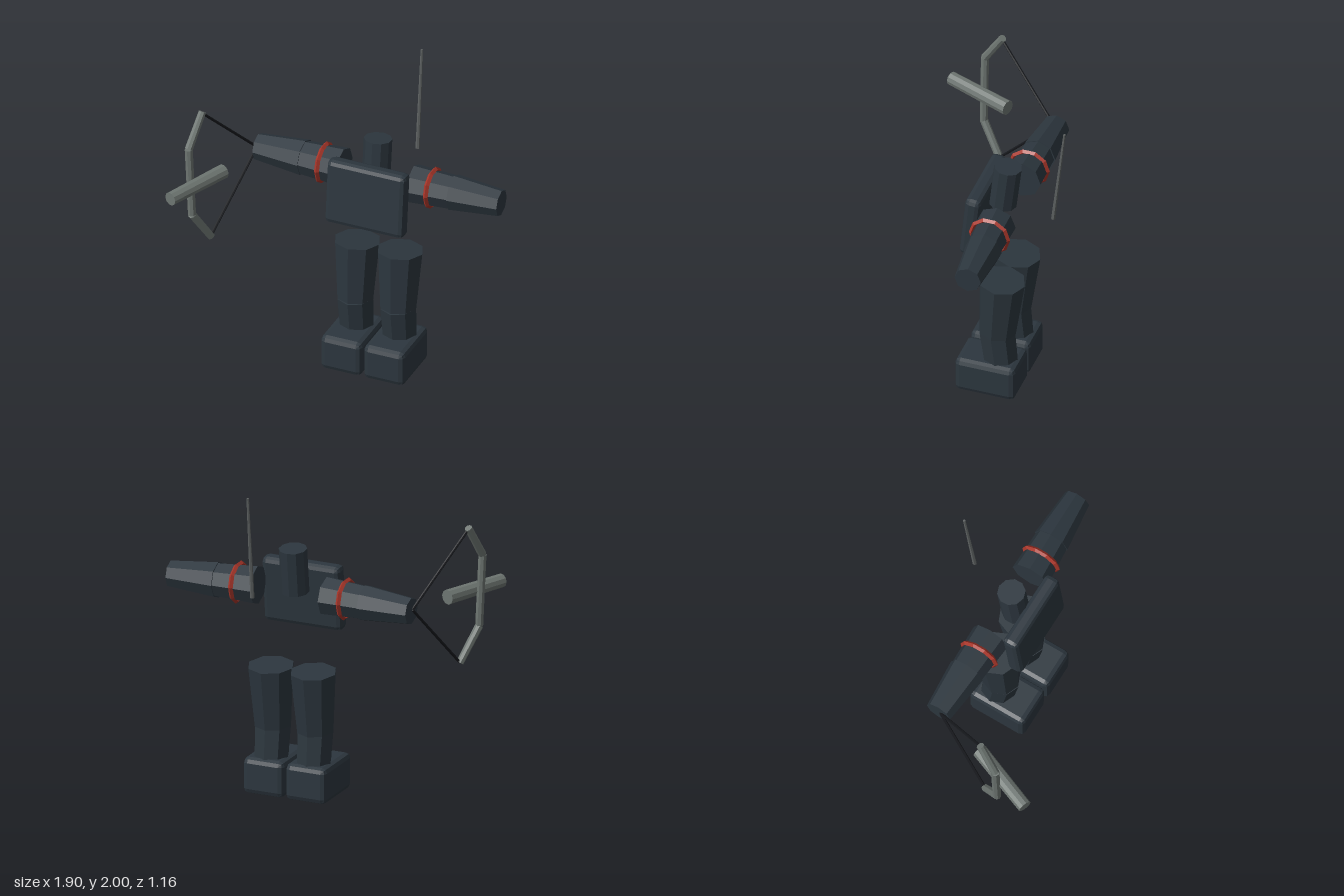
import * as THREE from 'three';
import { RoundedBoxGeometry } from 'three/addons/geometries/RoundedBoxGeometry.js';

const mat = (name, color) => {
  const m = new THREE.MeshStandardMaterial({ color, flatShading: true });
  m.name = name;
  return m;
};

export function createModel() {
  const root = new THREE.Group();
  root.name = 'archerArmour';
  const armour = mat('dark slate', 0x2c363e);
  const red = mat('band red', 0xa8362a);
  const metal = mat('bow grey', 0x6d7571);
  const antennaGrey = mat('antenna grey', 0x5c6060);
  const black = mat('string black', 0x17191d);
  const MID = 0.14; // body centre line

  const add = (name, geometry, material, parent = root) => {
    const mesh = new THREE.Mesh(geometry, material);
    mesh.name = name;
    parent.add(mesh);
    return mesh;
  };

  // Tapered rod running from point a to point b
  const rod = (name, a, b, ra, rb, sides, material, parent) => {
    const from = new THREE.Vector3(...a), to = new THREE.Vector3(...b);
    const dir = to.clone().sub(from);
    const mesh = add(name, new THREE.CylinderGeometry(rb, ra, dir.length(), sides), material, parent);
    mesh.position.copy(from).add(to).multiplyScalar(0.5);
    mesh.quaternion.setFromUnitVectors(new THREE.Vector3(0, 1, 0), dir.normalize());
    return mesh;
  };

  // Chest plate, leaning slightly back
  const chest = add('chestPlate', new RoundedBoxGeometry(0.52, 0.42, 0.1, 1, 0.03), armour);
  chest.position.set(MID, 1.24, -0.01);
  chest.rotation.x = -0.1;

  // Canister on the back
  rod('backCanister', [MID, 1.285, -0.137], [MID, 1.57, -0.17], 0.087, 0.087, 10, armour);

  // Antenna
  rod('antenna', [0.255, 1.34, -0.5], [0.252, 2.0, -0.572], 0.013, 0.008, 6, antennaGrey);

  for (const [side, s] of [['left', 1], ['right', -1]]) {
    // Arm with a red band
    const arm = new THREE.Group();
    arm.name = side + 'Arm';
    root.add(arm);
    const ax = (d) => MID + s * d;
    rod('upperArm', [ax(0.23), 1.303, -0.177], [ax(0.53), 1.3, -0.187], 0.122, 0.105, 8, armour, arm);
    rod('forearm', [ax(0.49), 1.3, -0.187], [ax(0.805), 1.296, -0.195], 0.114, 0.084, 8, armour, arm);
    const band = add('armBand', new THREE.TorusGeometry(0.117, 0.016, 4, 10), red, arm);
    band.position.set(ax(0.36), 1.303, -0.178);
    band.rotation.y = Math.PI / 2;

    // Leg with a bent knee and a blocky boot
    const leg = new THREE.Group();
    leg.name = side + 'Leg';
    root.add(leg);
    const lx = MID + s * 0.142;
    rod('thigh', [lx, 0.42, -0.152], [lx, 0.805, -0.182], 0.117, 0.145, 8, armour, leg);
    rod('shin', [lx, 0.18, -0.178], [lx, 0.435, -0.148], 0.108, 0.116, 8, armour, leg);
    const boot = add('boot', new RoundedBoxGeometry(0.27, 0.23, 0.385, 1, 0.033), armour, leg);
    boot.position.set(lx, 0.115, -0.112);
  }

  // Crossbow-like bow held by the right hand
  const bow = new THREE.Group();
  bow.name = 'bow';
  root.add(bow);
  const limb = [
    [-0.852, 1.728, 0.215], [-0.887, 1.523, 0.341],
    [-0.865, 1.064, 0.341], [-0.795, 0.855, 0.215],
  ];
  rod('upperLimb', limb[1], limb[0], 0.026, 0.024, 8, metal, bow);
  rod('bowGrip', limb[2], limb[1], 0.026, 0.026, 8, metal, bow);
  rod('lowerLimb', limb[2], limb[3], 0.026, 0.024, 8, metal, bow);
  rod('stock', [-0.745, 1.29, 0.145], [-0.91, 1.29, 0.565], 0.047, 0.043, 10, metal, bow);

  // Bowstring drawn back to the hand
  const hand = [-0.665, 1.3, -0.18];
  rod('upperString', [-0.845, 1.705, 0.205], hand, 0.009, 0.009, 6, black, bow);
  rod('lowerString', [-0.793, 0.868, 0.205], hand, 0.009, 0.009, 6, black, bow);

  return root;
}
